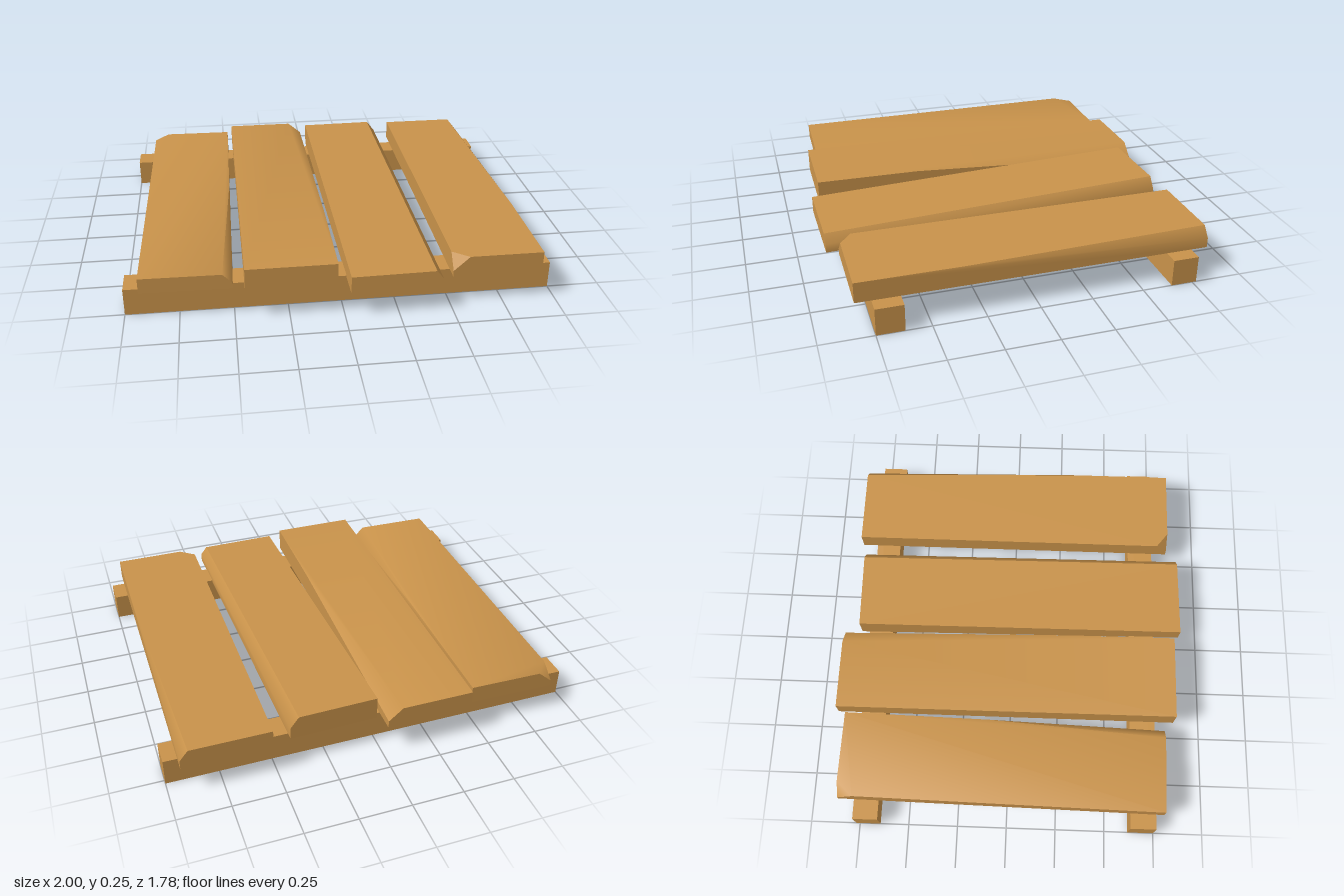
import * as THREE from 'three';
import { toCreasedNormals } from 'three/addons/utils/BufferGeometryUtils.js';
import { ConvexGeometry } from 'three/addons/geometries/ConvexGeometry.js';

const wood = new THREE.MeshStandardMaterial({ color: 0xc8924a });
wood.name = 'warm wood';

// Crossbeam running along x under the planks
function beam(name, z0, z1) {
  const mesh = new THREE.Mesh(new THREE.BoxGeometry(2, 0.132, z1 - z0), wood);
  mesh.name = name;
  mesh.position.set(0, 0.066, (z0 + z1) / 2);
  return mesh;
}

// Hewn plank. Each end has its x range, z at both sides and y range.
// A cut takes a wedge off one top corner: w wide, h high and t of the length.
function plank(name, ends, cuts) {
  const points = [];
  const corner = (e, s) => new THREE.Vector3(ends[e].x[s], ends[e].y[1], ends[e].z[s]);
  for (const e of [0, 1]) {
    for (const s of [0, 1]) {
      const top = corner(e, s);
      points.push(new THREE.Vector3(top.x, ends[e].y[0], top.z));
      const cut = cuts.find((c) => c.end === e && c.side === s);
      if (!cut) {
        points.push(top);
        continue;
      }
      points.push(top.clone().lerp(corner(e, 1 - s), cut.w / (ends[e].x[1] - ends[e].x[0])));
      points.push(top.clone().setY(top.y - cut.h));
      if (cut.t) points.push(top.clone().lerp(corner(1 - e, s), cut.t));
    }
  }
  const mesh = new THREE.Mesh(toCreasedNormals(new ConvexGeometry(points), 0.85), wood);
  mesh.name = name;
  return mesh;
}

export function createModel() {
  const group = new THREE.Group();
  group.name = 'plankPlatform';
  group.add(beam('backBeam', -0.77, -0.645), beam('frontBeam', 0.62, 0.75));

  // Ends: 0 = back, 1 = front. Sides: 0 = -x, 1 = +x.
  group.add(plank('plank1', [
    { x: [-0.9, -0.475], z: [-0.85, -0.842], y: [0.132, 0.22] },
    { x: [-0.927, -0.503], z: [0.79, 0.797], y: [0.135, 0.208] },
  ], [
    { end: 0, side: 0, w: 0.07, h: 0.06, t: 0.05 },
    { end: 1, side: 1, w: 0.045, h: 0.045, t: 0.55 },
  ]));

  group.add(plank('plank2', [
    { x: [-0.45, -0.028], z: [-0.89, -0.89], y: [0.14, 0.237] },
    { x: [-0.45, -0.028], z: [0.845, 0.845], y: [0.135, 0.255] },
  ], [
    { end: 0, side: 1, w: 0.07, h: 0.06, t: 0.7 },
  ]));

  group.add(plank('plank3', [
    { x: [-0.003, 0.422], z: [-0.807, -0.816], y: [0.14, 0.255] },
    { x: [0.026, 0.452], z: [0.886, 0.878], y: [0.12, 0.205] },
  ], [
    { end: 0, side: 1, w: 0.042, h: 0.055 },
    { end: 1, side: 1, w: 0.033, h: 0.042 },
  ]));

  group.add(plank('plank4', [
    { x: [0.51, 0.935], z: [-0.846, -0.846], y: [0.137, 0.235] },
    { x: [0.51, 0.935], z: [0.825, 0.825], y: [0.137, 0.236] },
  ], [
    { end: 0, side: 1, w: 0.04, h: 0.05, t: 0.7 },
    { end: 1, side: 0, w: 0.075, h: 0.07, t: 0.035 },
  ]));

  return group;
}
